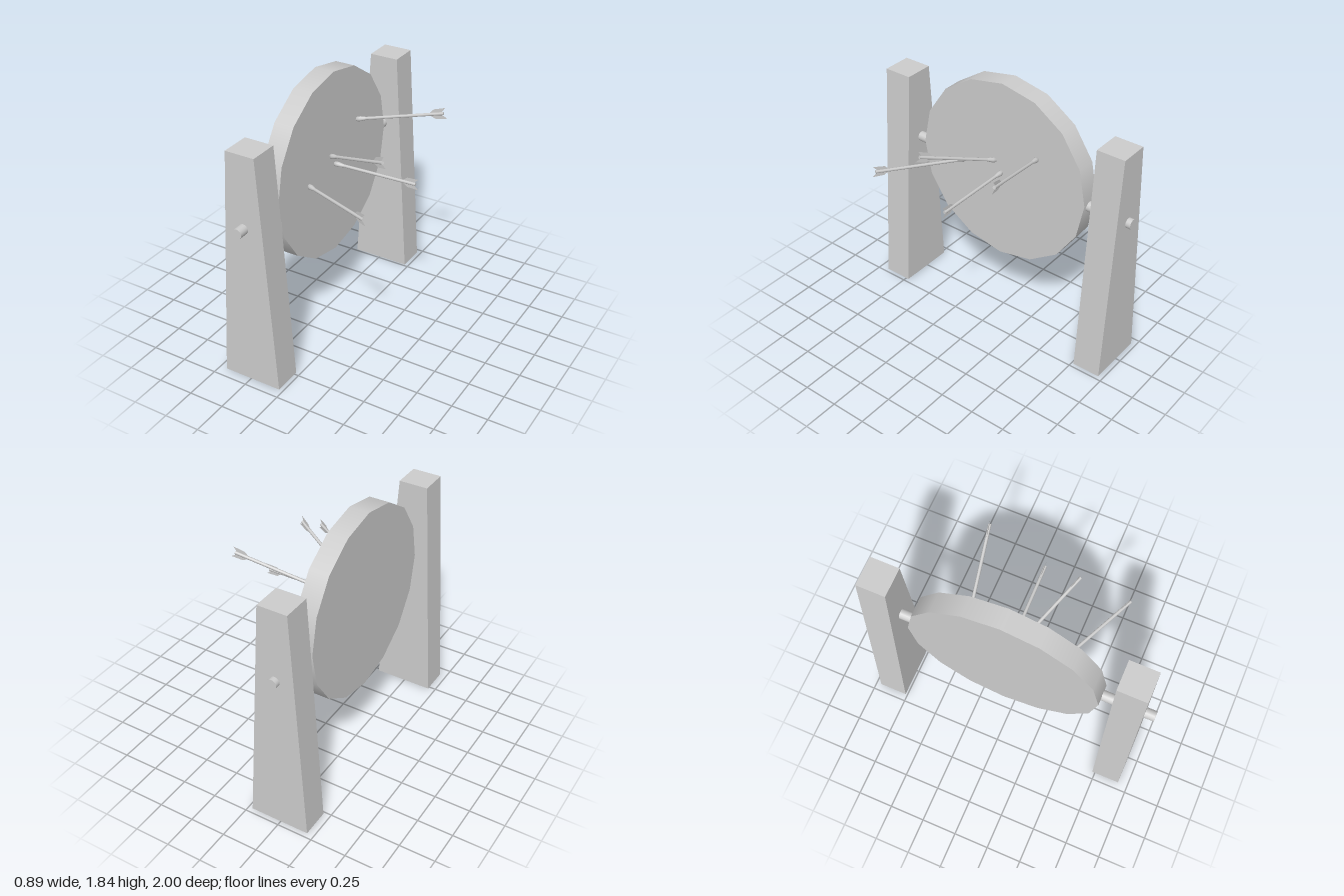
import * as THREE from 'three';

const material = new THREE.MeshStandardMaterial({ color: 0xcccccc });
const finMaterial = new THREE.MeshStandardMaterial({ color: 0xcccccc, side: THREE.DoubleSide });

function add(parent, name, geometry, mat = material) {
  const mesh = new THREE.Mesh(geometry, mat);
  mesh.name = name;
  parent.add(mesh);
  return mesh;
}

const polygon = (points) => new THREE.Shape(points.map(([x, y]) => new THREE.Vector2(x, y)));

// Arrow from its point in the board to its nock; fins stand in the vertical plane
function createArrow(tip, tail) {
  const arrow = new THREE.Group();
  arrow.name = 'arrow';
  const dir = tail.clone().sub(tip);
  const length = dir.length();
  dir.normalize();
  const side = new THREE.Vector3().crossVectors(dir, new THREE.Vector3(0, 1, 0)).normalize();
  const up = new THREE.Vector3().crossVectors(side, dir);
  // local x = up, local y = along the shaft
  arrow.quaternion.setFromRotationMatrix(
    new THREE.Matrix4().makeBasis(up, dir, up.clone().cross(dir)));
  arrow.position.copy(tip);

  const shaft = add(arrow, 'shaft', new THREE.CylinderGeometry(0.011, 0.011, length, 8));
  shaft.position.y = length / 2;

  const head = [[0, -0.03], [0.018, 0.01], [0.018, 0.03], [0.011, 0.07]]
    .map(([r, y]) => new THREE.Vector2(r, y));
  add(arrow, 'arrowHead', new THREE.LatheGeometry(head, 8));

  // Two swept fins with a notched tail
  for (const s of [1, -1]) {
    const fin = polygon([
      [0, length - 0.09], [s * 0.012, length - 0.09], [s * 0.034, length - 0.06],
      [s * 0.038, length + 0.02], [s * 0.01, length - 0.01], [0, length - 0.01],
    ]);
    add(arrow, 'fin', new THREE.ShapeGeometry(fin), finMaterial);
  }
  return arrow;
}

export function createModel() {
  const model = new THREE.Group();
  model.name = 'archeryTarget';

  // Tapered posts
  const postShape = polygon([[-0.45, 0], [-0.03, 0], [-0.135, 1.66], [-0.34, 1.66]]);
  for (const [name, z] of [['frontPost', 0.73], ['backPost', -0.965]]) {
    const geometry = new THREE.ExtrudeGeometry(postShape, { depth: 0.2, bevelEnabled: false });
    add(model, name, geometry).position.z = z;
  }

  // Axle through both posts
  const axle = add(model, 'axle', new THREE.CylinderGeometry(0.035, 0.035, 2, 16));
  axle.rotation.x = Math.PI / 2;
  axle.position.set(-0.24, 1.155, 0);

  // Sixteen-sided board
  const board = add(model, 'targetBoard', new THREE.CylinderGeometry(0.66, 0.66, 0.14, 16));
  board.rotation.z = Math.PI / 2;
  board.position.set(-0.25, 1.18, -0.017);

  // Arrows stuck in the board: point, nock
  const arrows = [
    [[-0.18, 1.16, 0.295], [0.39, 1.235, 0.58]],
    [[-0.18, 1.257, 0.03], [0.33, 1.447, 0.245]],
    [[-0.18, 1.39, -0.3], [0.41, 1.53, -0.41]],
    [[-0.18, 1.18, -0.02], [0.42, 1.19, -0.028]],
  ];
  for (const [tip, tail] of arrows) {
    model.add(createArrow(new THREE.Vector3(...tip), new THREE.Vector3(...tail)));
  }
  return model;
}
